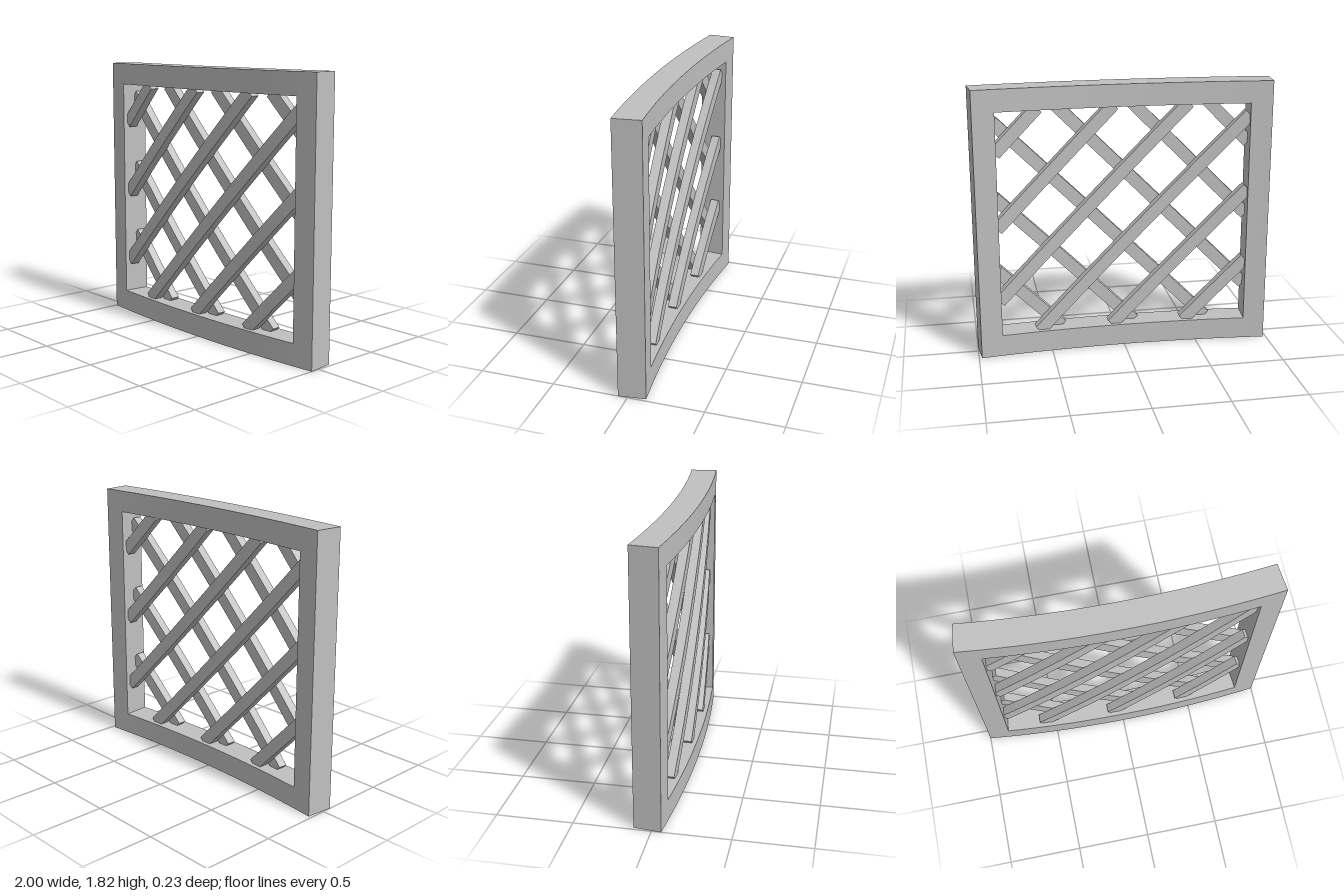
import * as THREE from 'three';

const R = 9.1;          // radius of the curved front face
const FRONT = 0.117;    // z of the front face at the middle
const DEPTH = 0.18;     // frame depth
const HEIGHT = 1.815;
const BORDER = 0.147;   // rail and stile width
const INNER = 1 - BORDER;

// Wraps a flat geometry (z = 0 is the front face) around the vertical arc.
function bend(geometry) {
  const p = geometry.attributes.position;
  for (let i = 0; i < p.count; i++) {
    const a = Math.asin(p.getX(i) / R);
    const r = R + p.getZ(i);
    p.setX(i, r * Math.sin(a));
    p.setZ(i, r * Math.cos(a) - R + FRONT);
  }
  geometry.computeVertexNormals();
  return geometry;
}

export function createModel() {
  const grey = new THREE.MeshStandardMaterial({ color: 0xc0c0c0 });
  grey.name = 'grey';
  const model = new THREE.Group();
  model.name = 'curvedLatticePanel';

  const add = (parent, name, geometry) => {
    const mesh = new THREE.Mesh(bend(geometry), grey);
    mesh.name = name;
    parent.add(mesh);
  };

  // Frame: two full-height stiles with rails between them
  const frame = new THREE.Group();
  frame.name = 'frame';
  for (const [side, name] of [[1, 'leftStile'], [-1, 'rightStile']]) {
    add(frame, name, new THREE.BoxGeometry(BORDER, HEIGHT, DEPTH, 2)
      .translate(side * (1 - BORDER / 2), HEIGHT / 2, -DEPTH / 2));
  }
  for (const [y, name] of [[BORDER / 2, 'bottomRail'], [HEIGHT - BORDER / 2, 'topRail']]) {
    add(frame, name, new THREE.BoxGeometry(INNER * 2, BORDER, DEPTH, 24)
      .translate(0, y, -DEPTH / 2));
  }
  model.add(frame);

  // Lattice: two crossing layers of diagonal slats, the back one mirrored
  const xMax = 0.858, yMin = 0.14, yMax = 1.677;
  const slatWidth = 0.083, slatThick = 0.06;
  for (const [dir, depth, name] of [[1, -0.06, 'frontSlat'], [-1, -0.12, 'backSlat']]) {
    const layer = new THREE.Group();
    layer.name = name + 's';
    for (let i = 0; i < 6; i++) {
      const c = -0.286 + i * 0.507;   // height of the slat line at x = 0
      const x0 = Math.max(-xMax, yMin - c);
      const x1 = Math.min(xMax, yMax - c);
      const xm = (x0 + x1) / 2;
      const length = (x1 - x0) * Math.SQRT2;
      add(layer, name + (i + 1),
        new THREE.BoxGeometry(length, slatWidth, slatThick, Math.ceil(length * 10))
          .rotateZ(dir * Math.PI / 4)
          .translate(dir * xm, xm + c, depth));
    }
    model.add(layer);
  }
  return model;
}
